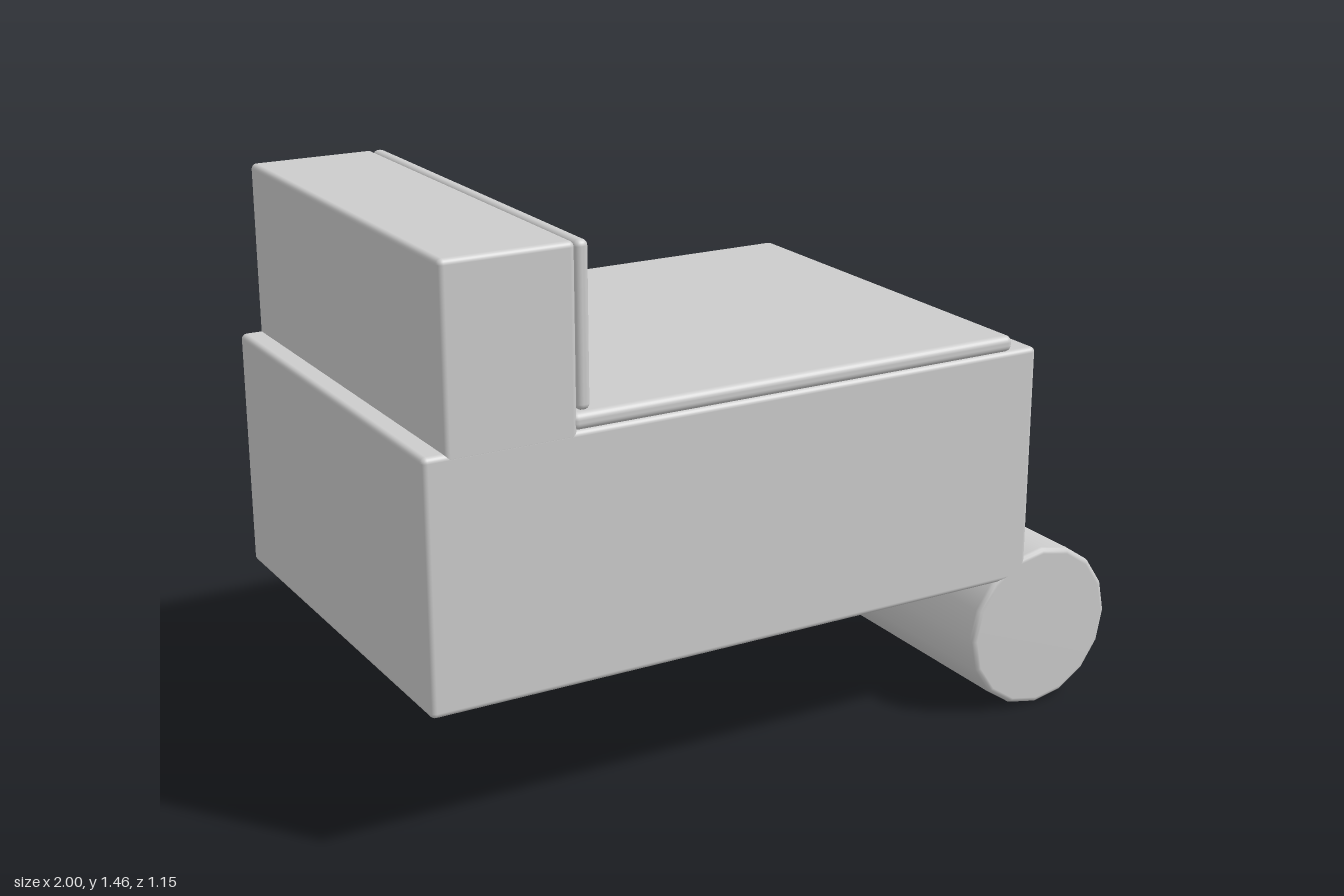
import * as THREE from 'three';
import { RoundedBoxGeometry } from 'three/addons/geometries/RoundedBoxGeometry.js';

const DEPTH = 1.15;

export function createModel() {
  const group = new THREE.Group();
  const grey = new THREE.MeshStandardMaterial({ color: 0xcccccc });
  grey.name = 'plain grey';

  // full-depth block with softened edges, given by its x and y extents
  function block(name, x0, x1, y0, y1, radius) {
    const mesh = new THREE.Mesh(new RoundedBoxGeometry(x1 - x0, y1 - y0, DEPTH, 3, radius), grey);
    mesh.position.set((x0 + x1) / 2, (y0 + y1) / 2, 0);
    mesh.name = name;
    group.add(mesh);
  }

  block('base', -1, 0.715, 0.38, 1.015, 0.014);
  block('backrest', -0.945, -0.61, 0.99, 1.46, 0.014);
  block('seatCushion', -0.625, 0.64, 1.013, 1.056, 0.018);
  block('backCushion', -0.61, -0.575, 1.06, 1.46, 0.015);

  // bolster: sixteen-sided roller with rounded rims, lying along z
  const r = 0.224, h = DEPTH / 2, b = 0.015;
  const profile = [new THREE.Vector2(0, -h)];
  for (const side of [-1, 1]) {
    for (let i = 0; i <= 3; i++) {
      const a = (side < 0 ? 3 - i : i) / 3 * Math.PI / 2;
      profile.push(new THREE.Vector2(r - b + b * Math.cos(a), side * (h - b + b * Math.sin(a))));
    }
  }
  profile.push(new THREE.Vector2(0, h));
  const bolster = new THREE.Mesh(new THREE.LatheGeometry(profile, 16).rotateX(Math.PI / 2), grey);
  bolster.position.set(0.776, r, 0);
  bolster.name = 'roller';
  group.add(bolster);

  return group;
}
